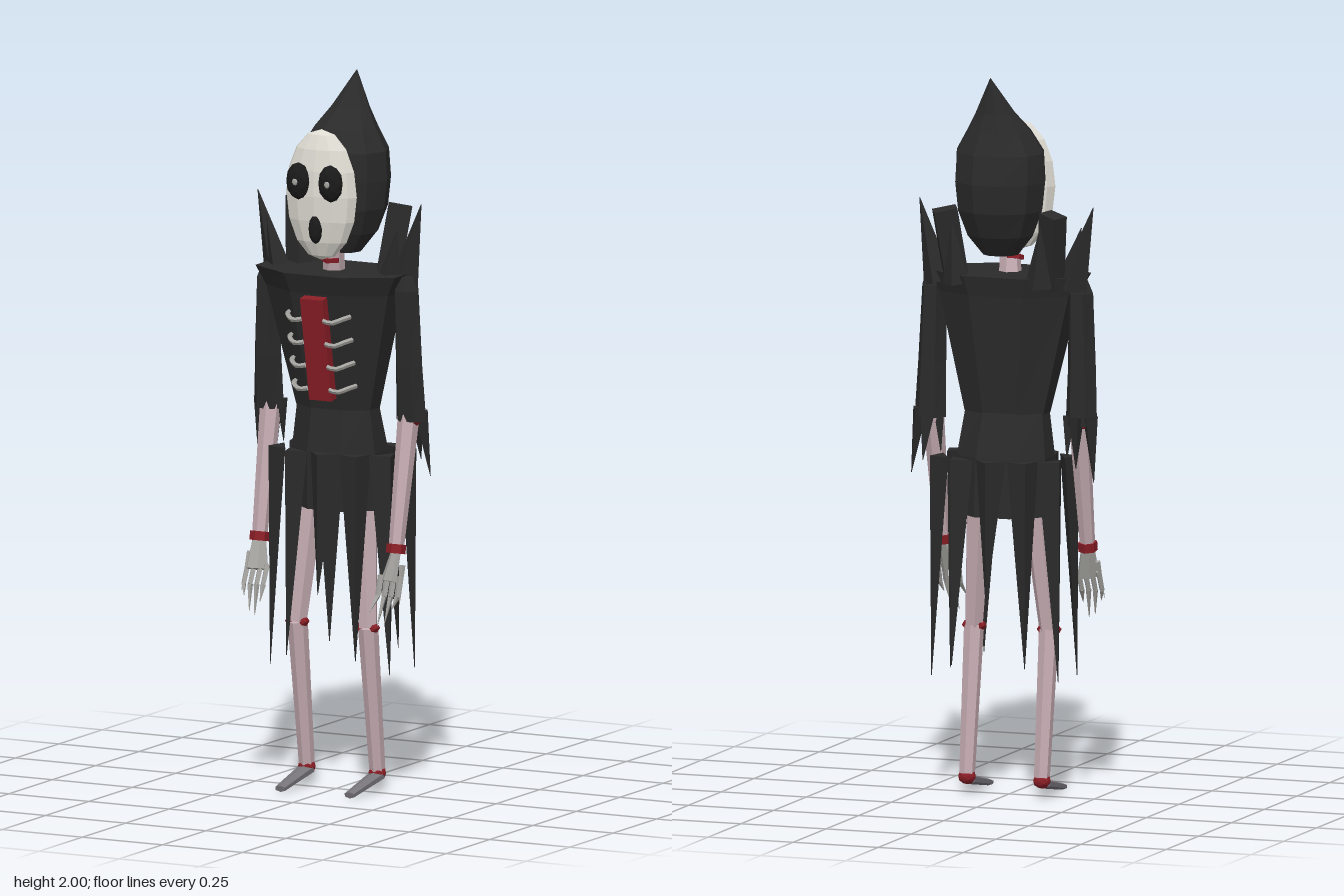
import * as THREE from 'three';

const flat = (name, color) => {
  const m = new THREE.MeshStandardMaterial({ color, flatShading: true, side: THREE.DoubleSide });
  m.name = name;
  return m;
};

export function createModel() {
  const root = new THREE.Group();
  const cloth = flat('black cloth', 0x2a2a2a);
  const skin = flat('pale skin', 0xc4abb1);
  const red = flat('raw red', 0x8a1e26);
  const bone = flat('grey bone', 0xa3a29e);
  const maskWhite = flat('mask white', 0xdedbd2);
  const socket = flat('socket black', 0x1a1a1a);
  const horn = flat('foot grey', 0x77747a);
  const V = (x, y, z) => new THREE.Vector3(x, y, z);

  const add = (name, geo, mat, parent = root) => {
    const m = new THREE.Mesh(geo, mat);
    m.name = name;
    parent.add(m);
    return m;
  };

  // Closed skin over rings of [y, centre x, centre z, radius x, radius z]
  const loft = (rings, n, turn = 0) => {
    const pos = [], idx = [];
    rings.forEach(([y, cx, cz, rx, rz]) => {
      for (let i = 0; i < n; i++) {
        const a = ((i + turn) / n) * Math.PI * 2;
        pos.push(cx + Math.sin(a) * rx, y, cz + Math.cos(a) * rz);
      }
    });
    for (let r = 0; r < rings.length - 1; r++) {
      for (let i = 0; i < n; i++) {
        const a = r * n + i, b = r * n + ((i + 1) % n);
        idx.push(a, b, b + n, a, b + n, a + n);
      }
    }
    const top = (rings.length - 1) * n;
    for (let i = 1; i < n - 1; i++) idx.push(0, i + 1, i, top, top + i, top + i + 1);
    const g = new THREE.BufferGeometry();
    g.setAttribute('position', new THREE.Float32BufferAttribute(pos, 3));
    g.setIndex(idx);
    g.computeVertexNormals();
    return g;
  };

  // Tapered prism from point a to point b
  const limb = (name, a, b, ra, rb, mat, parent, sides = 6) => {
    const d = b.clone().sub(a);
    const m = add(name, new THREE.CylinderGeometry(rb, ra, d.length(), sides), mat, parent);
    m.position.copy(a).addScaledVector(d, 0.5);
    m.quaternion.setFromUnitVectors(V(0, 1, 0), d.normalize());
    return m;
  };

  const blob = (name, p, s, mat, parent, detail = 1) => {
    const m = add(name, new THREE.IcosahedronGeometry(1, detail), mat, parent);
    m.position.copy(p);
    m.scale.copy(s);
    return m;
  };

  // Robe body: waist, chest and hips
  add('torso', loft([
    [1.07, 0, -0.012, 0.125, 0.073],
    [1.4, 0, 0.005, 0.205, 0.122],
    [1.455, 0, 0.01, 0.235, 0.138],
  ], 8, 0.5), cloth);
  add('skirt', loft([
    [0.79, 0, -0.033, 0.135, 0.112],
    [0.95, 0, -0.024, 0.14, 0.1],
    [1.08, 0, -0.012, 0.122, 0.071],
  ], 8, 0.5), cloth);

  // Torn strips hanging around the skirt, front and back
  for (const half of [0, Math.PI]) {
    for (let k = -2; k <= 2; k++) {
      const a = half + (k * Math.PI) / 6, s = Math.sin(a), c = Math.cos(a);
      const tipY = [0.56, 0.38, 0.34][Math.abs(k)];
      const strip = new THREE.Group();
      strip.name = 'skirtStrip';
      const g = loft([[tipY - 0.95, 0, 0.025, 0.001, 0.001], [0, 0, 0, 0.05, 0.03]], 3);
      add('strip', g, cloth, strip);
      strip.position.set(s * 0.19, 0.95, -0.037 + c * 0.118);
      strip.rotation.y = Math.atan2(s, c);
      root.add(strip);
    }
  }

  // Open chest with breastbone and curled ribs
  const sternum = add('openChest', new THREE.BoxGeometry(0.07, 0.295, 0.035), red);
  sternum.position.set(0, 1.247, 0.1);
  sternum.rotation.x = 0.185;
  for (const side of [-1, 1]) {
    for (let i = 0; i < 4; i++) {
      const y = 1.135 + i * 0.066, z = 0.074 + i * 0.012;
      const curve = new THREE.CatmullRomCurve3([
        V(side * 0.095, y + 0.008, z - 0.015), V(side * 0.085, y + 0.004, z + 0.012),
        V(side * 0.06, y - 0.006, z + 0.028), V(side * 0.034, y - 0.002, z + 0.026),
      ]);
      add('rib', new THREE.TubeGeometry(curve, 6, 0.007, 5), bone);
    }
  }

  // Neck
  limb('neck', V(0, 1.42, 0.01), V(0.015, 1.57, 0.045), 0.032, 0.027, skin);
  limb('neckWound', V(0.003, 1.485, 0.029), V(0.004, 1.497, 0.032), 0.033, 0.033, red);

  // Pointed hood
  add('hood', loft([
    [1.505, 0.02, -0.01, 0.05, 0.05],
    [1.56, 0.02, -0.015, 0.095, 0.085],
    [1.63, 0.02, -0.015, 0.122, 0.112],
    [1.71, 0.02, -0.015, 0.131, 0.118],
    [1.79, 0.021, -0.012, 0.128, 0.108],
    [1.85, 0.022, -0.018, 0.092, 0.08],
    [1.9, 0.025, -0.037, 0.058, 0.045],
    [2, 0.03, -0.065, 0.001, 0.001],
  ], 10, 0.5), cloth);

  // Mask face
  const mask = new THREE.Group();
  mask.name = 'mask';
  root.add(mask);
  const face = add('face', new THREE.SphereGeometry(1, 12, 8), maskWhite, mask);
  face.position.set(0.02, 1.68, 0.12);
  face.scale.set(0.11, 0.182, 0.048);
  for (const side of [-1, 1]) {
    blob('eyeSocket', V(0.02 + side * 0.05, 1.72, 0.161), V(0.037, 0.052, 0.023), socket, mask);
    blob('pupil', V(0.02 + side * 0.05, 1.72, 0.181), V(0.01, 0.012, 0.006), bone, mask, 0);
  }
  blob('mouth', V(0.022, 1.59, 0.158), V(0.02, 0.042, 0.018), socket, mask);

  for (const side of [-1, 1]) {
    const P = (x, y, z) => V(side * x, y, z);

    // Shoulder collar: upright slab and spikes
    const slab = add('collarSlab', new THREE.BoxGeometry(0.065, 0.21, 0.045), cloth);
    slab.position.copy(P(0.148, 1.53, -0.06));
    slab.rotation.set(-0.12, side * 0.5, side * -0.12);
    limb('collarSpike', P(0.195, 1.42, -0.03), P(0.255, 1.65, -0.02), 0.045, 0.001, cloth, root, 4);
    limb('collarSpike', P(0.165, 1.42, 0.01), P(0.205, 1.585, 0.02), 0.038, 0.001, cloth, root, 4);
    limb('collarSpike', P(0.12, 1.43, -0.09), P(0.13, 1.6, -0.1), 0.04, 0.001, cloth, root, 4);

    // Sleeve with torn cuff
    const arm = new THREE.Group();
    arm.name = side > 0 ? 'leftArm' : 'rightArm';
    root.add(arm);
    add('sleeve', loft([
      [1.045, side * 0.222, -0.025, 0.046, 0.035],
      [1.2, side * 0.22, -0.015, 0.041, 0.038],
      [1.41, side * 0.215, -0.01, 0.036, 0.04],
      [1.45, side * 0.205, -0.01, 0.028, 0.03],
    ], 6, 0.5), cloth, arm);
    limb('cuffStrip', P(0.25, 1.07, -0.04), P(0.268, 0.89, -0.05), 0.025, 0.001, cloth, arm, 3);
    limb('cuffStrip', P(0.22, 1.07, -0.055), P(0.225, 0.93, -0.075), 0.025, 0.001, cloth, arm, 3);
    limb('cuffStrip', P(0.19, 1.07, -0.03), P(0.185, 0.95, -0.04), 0.02, 0.001, cloth, arm, 3);

    // Forearm, wrist wound and clawed hand
    blob('elbowWound', P(0.22, 1.045, -0.022), V(0.035, 0.018, 0.028), red, arm, 0);
    limb('forearm', P(0.215, 1.06, -0.022), P(0.213, 0.69, 0.048), 0.03, 0.021, skin, arm);
    limb('wristWound', P(0.213, 0.71, 0.045), P(0.213, 0.685, 0.05), 0.027, 0.027, red, arm);
    const palm = limb('palm', P(0.213, 0.69, 0.048), P(0.205, 0.61, 0.075), 0.021, 0.034, bone, arm);
    palm.scale.z = 0.5;
    for (let i = 0; i < 4; i++) {
      const x = 0.177 + i * 0.02, low = [0.53, 0.49, 0.5, 0.54][i];
      const knuckle = P(x + 0.002, 0.57, 0.09);
      limb('finger', P(x, 0.625, 0.068), knuckle, 0.009, 0.008, bone, arm, 4);
      limb('claw', knuckle, P(x - 0.006, low, 0.122 - i * 0.006), 0.008, 0.001, bone, arm, 4);
    }
    limb('thumb', P(0.238, 0.655, 0.058), P(0.246, 0.55, 0.09), 0.009, 0.001, bone, arm, 4);

    // Leg, knee and ankle wounds, long foot
    const leg = new THREE.Group();
    leg.name = side > 0 ? 'leftLeg' : 'rightLeg';
    root.add(leg);
    const knee = P(0.11, 0.465, 0.018), ankle = P(0.11, 0.06, -0.035);
    limb('thigh', P(0.078, 0.87, -0.018), knee, 0.04, 0.027, skin, leg);
    limb('shin', knee, ankle, 0.028, 0.022, skin, leg);
    for (const dx of [-0.022, 0.022]) {
      blob('kneeWound', P(0.11 + dx, 0.465, 0.02), V(0.012, 0.014, 0.022), red, leg, 0);
    }
    blob('ankleWound', P(0.11, 0.052, -0.035), V(0.025, 0.022, 0.022), red, leg);
    const foot = limb('foot', P(0.11, 0.045, -0.035), P(0.108, 0.013, 0.122), 0.026, 0.017, horn, leg);
    foot.scale.z = 0.55;
  }

  return root;
}
